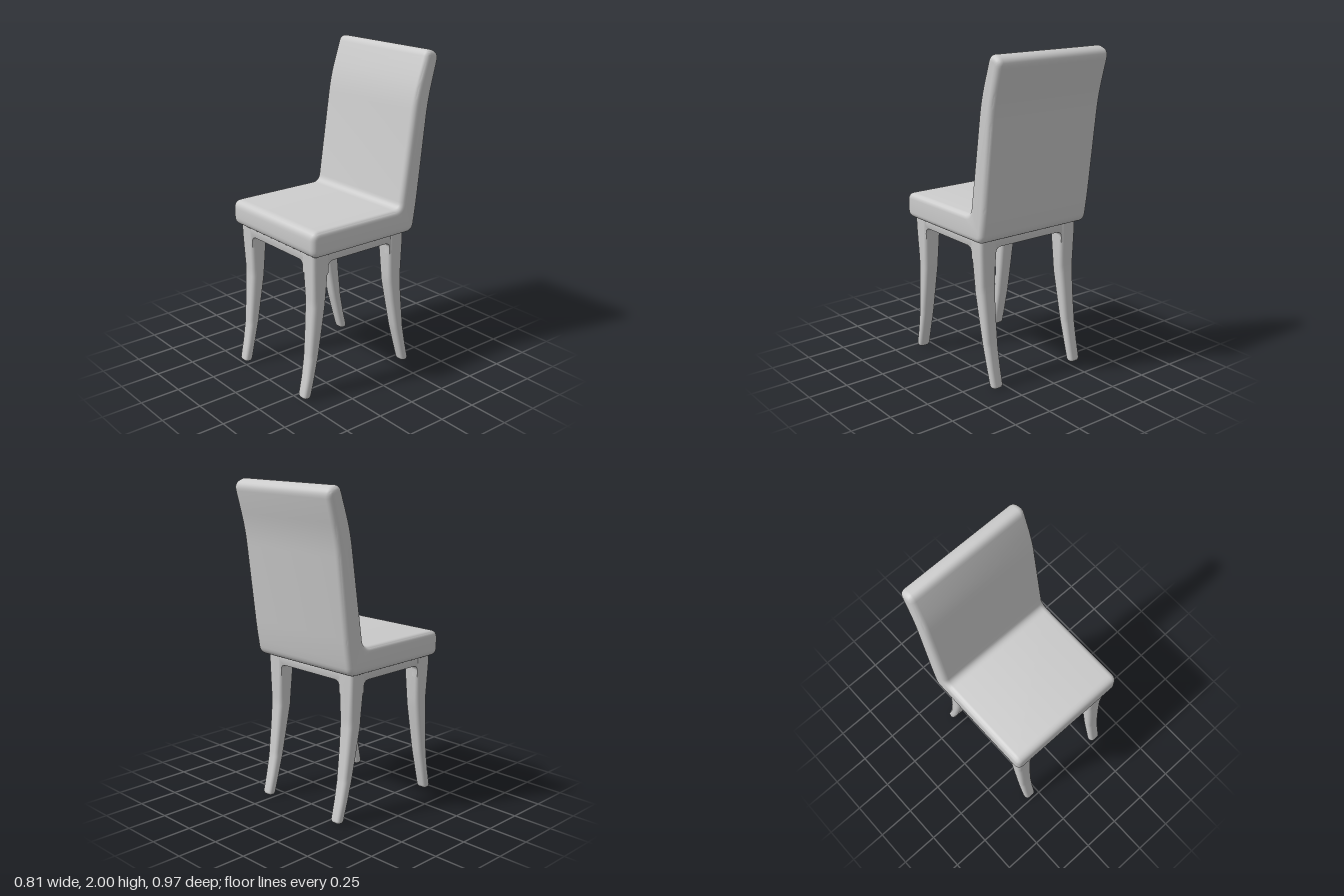
import * as THREE from 'three';
import { toCreasedNormals } from 'three/addons/utils/BufferGeometryUtils.js';

const material = new THREE.MeshStandardMaterial({ color: 0xcccccc });

function addMesh(parent, name, geometry) {
  const mesh = new THREE.Mesh(geometry, material);
  mesh.name = name;
  parent.add(mesh);
  return mesh;
}

// Closed outline whose corners [x, y, d] are eased over a distance d
function roundedShape(corners) {
  const shape = new THREE.Shape();
  const n = corners.length;
  corners.forEach(([x, y, d], i) => {
    const c = new THREE.Vector2(x, y);
    const toward = ([px, py]) => new THREE.Vector2(px, py).sub(c).setLength(d).add(c);
    const a = toward(corners[(i + n - 1) % n]);
    const b = toward(corners[(i + 1) % n]);
    if (i === 0) shape.moveTo(a.x, a.y);
    else shape.lineTo(a.x, a.y);
    shape.quadraticCurveTo(x, y, b.x, b.y);
  });
  shape.closePath();
  return shape;
}

// Extrusion centred on its depth, with edges rounded inside the outline
function softExtrude(shape, width, bevel, segments) {
  const geometry = new THREE.ExtrudeGeometry(shape, {
    depth: width - 2 * bevel, curveSegments: 6, bevelEnabled: true,
    bevelSize: bevel, bevelThickness: bevel, bevelOffset: -bevel, bevelSegments: segments,
  });
  geometry.translate(0, 0, bevel - width / 2);
  return toCreasedNormals(geometry, 0.6);
}

// Loft through rounded rectangles [y, x0, x1, z0, z1, radius], listed upwards
function loftLeg(sections) {
  const positions = [], index = [], steps = 4, count = 4 * (steps + 1);
  for (const [y, x0, x1, z0, z1, r] of sections) {
    const centers = [[x1 - r, z1 - r], [x0 + r, z1 - r], [x0 + r, z0 + r], [x1 - r, z0 + r]];
    centers.forEach(([cx, cz], q) => {
      for (let k = 0; k <= steps; k++) {
        const a = (q + k / steps) * Math.PI / 2;
        positions.push(cx + r * Math.cos(a), y, cz + r * Math.sin(a));
      }
    });
  }
  for (let s = 0; s < sections.length - 1; s++) {
    for (let i = 0; i < count; i++) {
      const j = (i + 1) % count, a = s * count + i, b = s * count + j;
      index.push(a, a + count, b, b, a + count, b + count);
    }
  }
  // Sole of the foot
  const [y, x0, x1, z0, z1] = sections[0];
  positions.push((x0 + x1) / 2, y, (z0 + z1) / 2);
  const center = positions.length / 3 - 1;
  for (let i = 0; i < count; i++) index.push(center, i, (i + 1) % count);
  const geometry = new THREE.BufferGeometry();
  geometry.setAttribute('position', new THREE.Float32BufferAttribute(positions, 3));
  geometry.setIndex(index);
  geometry.computeVertexNormals();
  return geometry;
}

// Apron rail with small brackets easing into the legs
function railGeometry(start, legA, legB, end) {
  const low = 0.78, under = 0.853, top = 0.92, r = 0.035;
  const shape = new THREE.Shape();
  shape.moveTo(start, top);
  shape.lineTo(start, low);
  shape.lineTo(legA, low);
  shape.lineTo(legA, under - r);
  shape.quadraticCurveTo(legA, under, legA + r, under);
  shape.lineTo(legB - r, under);
  shape.quadraticCurveTo(legB, under, legB, under - r);
  shape.lineTo(legB, low);
  shape.lineTo(end, low);
  shape.lineTo(end, top);
  shape.closePath();
  return softExtrude(shape, 0.05, 0.008, 2);
}

export function createModel() {
  const chair = new THREE.Group();
  chair.name = 'chair';

  // Upholstered seat and back, one side profile in (z, y)
  const profile = roundedShape([
    [0.462, 0.907, 0.052], [0.462, 1.066, 0.052], [-0.2, 1.066, 0.045],
    [-0.302, 1.75, 0.1], [-0.39, 2.012, 0.05], [-0.49, 1.975, 0.05],
    [-0.416, 1.7, 0.1], [-0.341, 1.07, 0.07], [-0.313, 0.907, 0.052],
  ]);
  const upholstery = softExtrude(profile, 0.81, 0.034, 5);
  upholstery.rotateY(-Math.PI / 2);
  addMesh(chair, 'seatAndBack', upholstery);

  // Sabre legs: [y, inner x, outer x, front inner z, front outer z, back outer z, back inner z, radius]
  const stations = [
    [0, 0.284, 0.332, 0.447, 0.475, -0.343, -0.315, 0.012],
    [0.006, 0.275, 0.341, 0.437, 0.483, -0.351, -0.306, 0.017],
    [0.02, 0.27, 0.346, 0.432, 0.486, -0.354, -0.301, 0.02],
    [0.13, 0.268, 0.349, 0.407, 0.463, -0.327, -0.27, 0.022],
    [0.25, 0.265, 0.351, 0.381, 0.445, -0.303, -0.238, 0.024],
    [0.28, 0.264, 0.352, 0.376, 0.442, -0.299, -0.232, 0.024],
    [0.45, 0.26, 0.355, 0.349, 0.43, -0.279, -0.197, 0.026],
    [0.58, 0.256, 0.358, 0.331, 0.422, -0.266, -0.173, 0.026],
    [0.63, 0.255, 0.359, 0.327, 0.421, -0.264, -0.169, 0.026],
    [0.84, 0.25, 0.366, 0.314, 0.429, -0.265, -0.154, 0.022],
    [0.92, 0.25, 0.367, 0.312, 0.431, -0.265, -0.153, 0.022],
  ];
  for (const side of [1, -1]) {
    for (const front of [true, false]) {
      const sections = stations.map(([y, xi, xo, fi, fo, bo, bi, r]) => [
        y, side > 0 ? xi : -xo, side > 0 ? xo : -xi,
        front ? fi : bo, front ? fo : bi, r,
      ]);
      addMesh(chair, (front ? 'front' : 'back') + (side > 0 ? 'LeftLeg' : 'RightLeg'), loftLeg(sections));
    }
  }

  // Apron frame under the seat
  const crossRail = railGeometry(-0.33, -0.252, 0.252, 0.33);
  addMesh(chair, 'frontRail', crossRail).position.z = 0.402;
  addMesh(chair, 'backRail', crossRail).position.z = -0.237;
  const sideRail = railGeometry(-0.23, -0.156, 0.316, 0.39);
  sideRail.rotateY(-Math.PI / 2);
  addMesh(chair, 'leftRail', sideRail).position.x = 0.337;
  addMesh(chair, 'rightRail', sideRail).position.x = -0.337;

  return chair;
}
